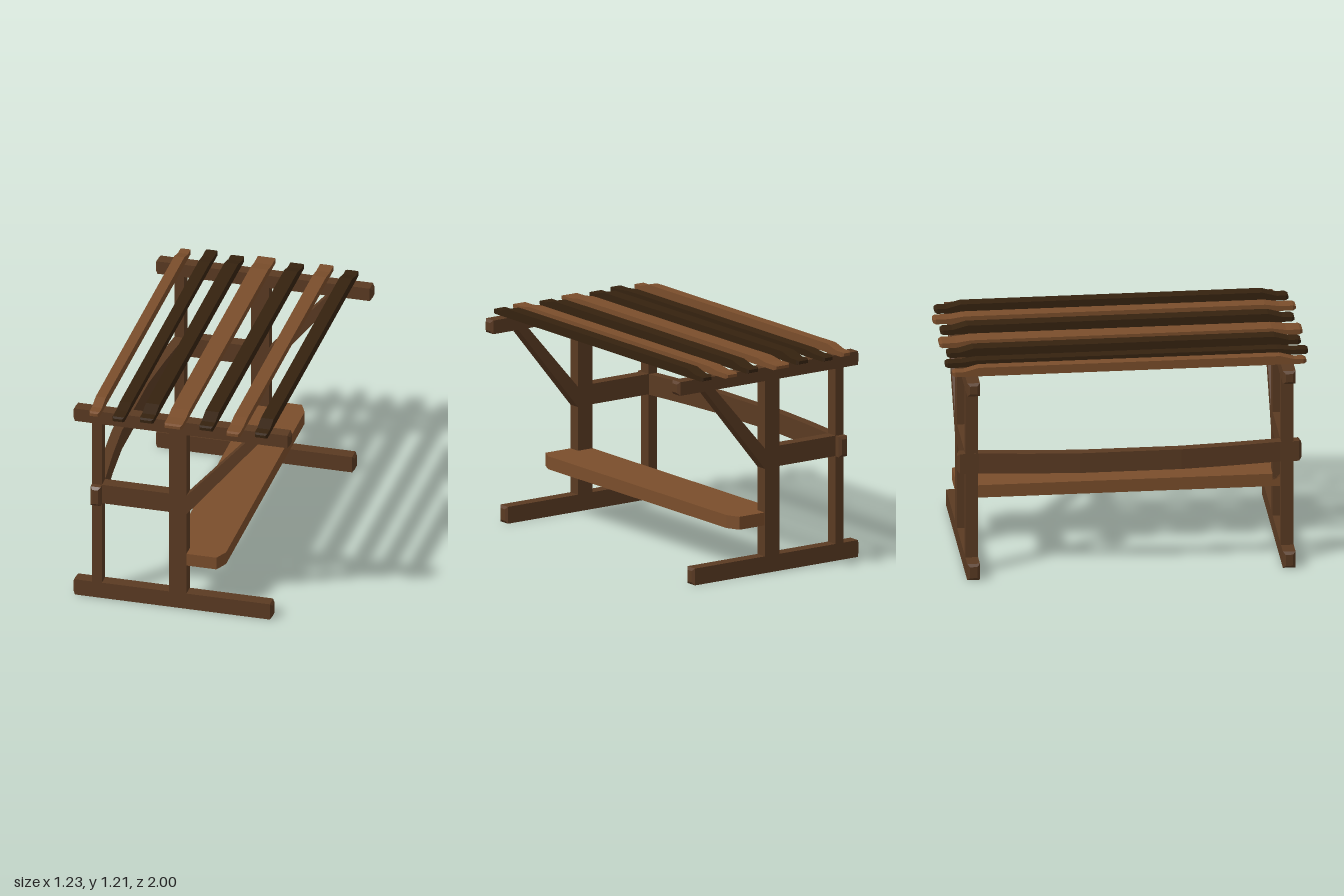
import * as THREE from 'three';

const mat = (name, color) => {
  const m = new THREE.MeshStandardMaterial({ color });
  m.name = name;
  return m;
};

// Faceted solid through rectangular sections [z, x0, x1, y0, y1], z increasing.
function loft(sections) {
  const rings = sections.map(([z, x0, x1, y0, y1]) =>
    [[x0, y0, z], [x1, y0, z], [x1, y1, z], [x0, y1, z]]);
  const pos = [];
  const quad = (a, b, c, d) => pos.push(...a, ...b, ...c, ...a, ...c, ...d);
  for (let i = 0; i + 1 < rings.length; i++) {
    const p = rings[i], q = rings[i + 1];
    for (let j = 0; j < 4; j++) {
      const k = (j + 1) % 4;
      quad(p[j], p[k], q[k], q[j]);
    }
  }
  const s = rings[0], e = rings[rings.length - 1];
  quad(s[3], s[2], s[1], s[0]);
  quad(e[0], e[1], e[2], e[3]);
  const g = new THREE.BufferGeometry();
  g.setAttribute('position', new THREE.Float32BufferAttribute(pos, 3));
  g.computeVertexNormals();
  return g;
}

// Mirrors half a list of sections (z > 0, centre to end) to both ends.
const bothEnds = half =>
  [...half].reverse().map(([z, ...r]) => [-z, ...r]).concat(half);

// Horizontal beam along x with bevelled ends.
function beamX(x0, x1, y0, y1, halfDepth) {
  const b = 0.012, d = halfDepth, i = 0.015;
  return loft([
    [x0, -d + i, d - i, y0 + i, y1 - i],
    [x0 + b, -d, d, y0, y1],
    [x1 - b, -d, d, y0, y1],
    [x1, -d + i, d - i, y0 + i, y1 - i],
  ]).rotateY(Math.PI / 2);
}

const box = (x0, x1, y0, y1, depth) =>
  new THREE.BoxGeometry(x1 - x0, y1 - y0, depth)
    .translate((x0 + x1) / 2, (y0 + y1) / 2, 0);

export function createModel() {
  const model = new THREE.Group();
  model.name = 'shelteredBench';
  const frameWood = mat('frame wood', 0x5a3a22);
  const lightWood = mat('light wood', 0x7a4d2b);
  const darkWood = mat('dark wood', 0x35220f);

  const add = (parent, name, geometry, material) => {
    const mesh = new THREE.Mesh(geometry, material);
    mesh.name = name;
    parent.add(mesh);
  };

  // Two identical end frames
  const T = 0.07;
  const braceShape = new THREE.Shape([
    [0.03, 0.59], [0.435, 1.085], [0.365, 1.085], [0.03, 0.705],
  ].map(p => new THREE.Vector2(...p)));
  for (const [name, z] of [['frontFrame', 0.87], ['backFrame', -0.87]]) {
    const frame = new THREE.Group();
    frame.name = name;
    frame.position.z = z;
    add(frame, 'footBeam', beamX(-0.615, 0.515, 0, 0.095, T / 2), frameWood);
    add(frame, 'roofBeam', beamX(-0.615, 0.615, 1.085, 1.162, T / 2), frameWood);
    add(frame, 'mainPost', box(-0.07, 0.03, 0.095, 1.085, T), frameWood);
    add(frame, 'rearPost', box(-0.505, -0.45, 0.095, 1.085, T), frameWood);
    add(frame, 'armRail', box(-0.45, -0.07, 0.592, 0.707, T), frameWood);
    add(frame, 'brace', new THREE.ExtrudeGeometry(braceShape,
      { depth: T, bevelEnabled: false }).translate(0, 0, -T / 2), frameWood);
    model.add(frame);
  }

  // Seat plank with clipped outer corners
  add(model, 'seat', loft(bothEnds([
    [0.83, -0.07, 0.235, 0.27, 0.343],
    [0.904, -0.07, 0.2, 0.27, 0.343],
  ])), lightWood);

  // Backrest rail, bowed outward in the middle
  add(model, 'backrest', loft(bothEnds([
    [0.28, -0.56, -0.505, 0.59, 0.706],
    [0.55, -0.538, -0.483, 0.59, 0.706],
    [0.83, -0.506, -0.451, 0.59, 0.706],
    [0.935, -0.506, -0.449, 0.59, 0.706],
    [0.948, -0.493, -0.462, 0.605, 0.691],
  ])), frameWood);

  // Roof slats, thinned towards their ends: [x0, x1, half length, top, material]
  const slats = [
    [-0.505, -0.448, 0.975, 1.212, lightWood],
    [-0.367, -0.302, 1.0, 1.2, darkWood],
    [-0.22, -0.143, 0.975, 1.212, darkWood],
    [-0.073, 0.028, 1.0, 1.202, lightWood],
    [0.118, 0.195, 0.975, 1.212, darkWood],
    [0.28, 0.357, 1.0, 1.202, lightWood],
    [0.433, 0.505, 0.975, 1.212, darkWood],
  ];
  slats.forEach(([x0, x1, end, top, material], i) => {
    add(model, `roofSlat${i + 1}`, loft(bothEnds([
      [0.83, x0, x1, 1.162, top],
      [0.91, x0, x1, 1.162, 1.19],
      [end - 0.015, x0, x1, 1.162, 1.19],
      [end, x0 + 0.008, x1 - 0.008, 1.168, 1.184],
    ])), material);
  });

  return model;
}
